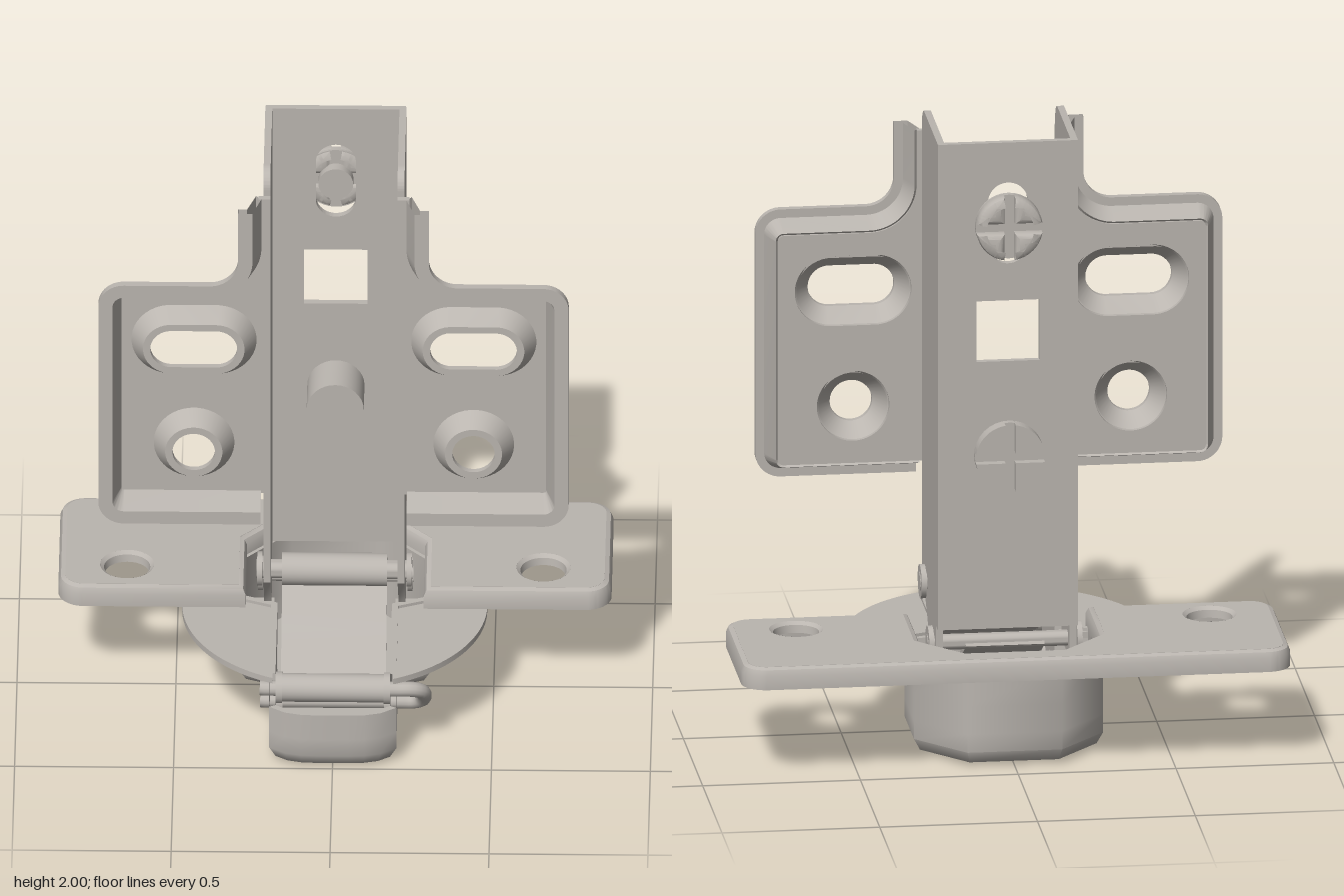
import * as THREE from 'three';
import { toCreasedNormals } from 'three/addons/utils/BufferGeometryUtils.js';

const V2 = (x, y) => new THREE.Vector2(x, y);
const steel = new THREE.MeshStandardMaterial({ name: 'nickel grey', color: 0xbab5af, side: THREE.DoubleSide });

function add(parent, name, geo, crease = 0.6) {
  const m = new THREE.Mesh(toCreasedNormals(geo, crease), steel);
  m.name = name;
  parent.add(m);
  return m;
}

// Moves a polyline sideways by d (positive = to the left of travel)
function offset(pts, d, closed) {
  const n = pts.length;
  const normal = (a, b) => { const e = b.clone().sub(a).normalize(); return V2(-e.y, e.x); };
  return pts.map((p, i) => {
    const prev = closed || i > 0 ? pts[(i + n - 1) % n] : null;
    const next = closed || i < n - 1 ? pts[(i + 1) % n] : null;
    const a = prev ? normal(prev, p) : normal(p, next);
    const b = next ? normal(p, next) : a;
    return p.clone().addScaledVector(a.clone().add(b), d / (1 + a.dot(b)));
  });
}

const clean = (pts, closed) => pts.filter((p, i) =>
  (i === 0 || p.distanceTo(pts[i - 1]) > 1e-4) && !(closed && i === pts.length - 1 && p.distanceTo(pts[0]) < 1e-4));

// Surface through a list of equal-length rings of Vector3
function skin(rings, closed, wrap, skip = () => false) {
  const n = rings[0].length, idx = [];
  for (let j = 0; j < rings.length - (wrap ? 0 : 1); j++) {
    const k = (j + 1) % rings.length;
    for (let i = 0; i < n - (closed ? 0 : 1); i++) {
      if (skip(j, i)) continue;
      const q = (i + 1) % n, a = j * n + i, b = j * n + q, c = k * n + q, d = k * n + i;
      idx.push(a, b, c, a, c, d);
    }
  }
  const g = new THREE.BufferGeometry().setFromPoints(rings.flat());
  g.setIndex(idx);
  return g;
}

// Bands following an outline: profile is a list of [inset, height]
const upright = (pts, profile, sign) => profile.map(([d, z]) =>
  offset(pts, d * sign, sign > 0).map(p => new THREE.Vector3(p.x, p.y, z)));
const lay = rings => rings.map(r => r.map(p => new THREE.Vector3(p.x, p.z, -p.y)));

const extrude = (shape, depth, opt = {}) =>
  new THREE.ExtrudeGeometry(shape, { depth, bevelEnabled: false, curveSegments: 16, ...opt });

function stadium(L, r, cx = 0, cy = 0, vertical = false) {
  const s = new THREE.Path(), q = vertical ? Math.PI / 2 : 0;
  const dx = vertical ? 0 : L, dy = vertical ? L : 0;
  s.absarc(cx + dx, cy + dy, r, q - Math.PI / 2, q + Math.PI / 2);
  s.absarc(cx - dx, cy - dy, r, q + Math.PI / 2, q + Math.PI * 1.5);
  s.closePath();
  return s;
}

// Cylinder lying along x
function pin(parent, name, r, x0, x1, y, z) {
  const g = new THREE.CylinderGeometry(r, r, x1 - x0, 24).rotateZ(Math.PI / 2);
  add(parent, name, g).position.set((x0 + x1) / 2, y, z);
}

// Bent sheet: [z, y] centre line, given width and thickness
function sheet(parent, name, line, width, t) {
  const pts = line.map(([z, y]) => V2(z, y));
  const s = new THREE.Shape([...offset(pts, t / 2, false), ...offset(pts, -t / 2, false).reverse()]);
  add(parent, name, extrude(s, width).rotateY(-Math.PI / 2).translate(width / 2, 0, 0));
}

function buildArm(root) {
  const arm = new THREE.Group();
  arm.name = 'arm';
  root.add(arm);
  // Back web with square window and adjusting slot
  const back = new THREE.Shape([V2(-0.22, 0.4), V2(0.22, 0.4), V2(0.22, 2), V2(-0.22, 2)]);
  back.holes.push(new THREE.Path([V2(-0.1, 1.28), V2(-0.1, 1.48), V2(0.1, 1.48), V2(0.1, 1.28)]));
  back.holes.push(stadium(0.07, 0.063, 0, 1.735, true));
  add(arm, 'armBack', extrude(back, 0.022).translate(0, 0, -0.235));
  // Side walls
  const s = new THREE.Shape();
  s.moveTo(-0.23, 0.4).lineTo(-0.19, 0.4).lineTo(-0.19, 0.28).lineTo(0, 0.28).lineTo(0.03, 0.35).lineTo(0.18, 0.49);
  s.lineTo(0.18, 1.94).absarc(0.12, 1.94, 0.06, 0, Math.PI / 2).lineTo(-0.23, 2);
  for (const side of [-1, 1]) {
    add(arm, 'armSide', extrude(s, 0.022).rotateY(-Math.PI / 2).translate(side * 0.211 + 0.011, 0, 0));
  }
}

function buildWing(root, side) {
  const wing = new THREE.Group();
  wing.name = side > 0 ? 'leftWing' : 'rightWing';
  wing.scale.x = side;
  root.add(wing);
  const path = new THREE.Path();
  path.moveTo(0.3, 1.92).lineTo(0.3, 1.74);
  path.absarc(0.39, 1.74, 0.09, Math.PI, Math.PI * 1.5);
  path.absarc(0.66, 1.57, 0.08, Math.PI / 2, 0, true);
  path.absarc(0.66, 0.85, 0.08, 0, -Math.PI / 2, true);
  path.lineTo(0.23, 0.77);
  const pts = clean(path.getPoints(8));
  // Raised rim
  const rim = [[0, 0.262], [0, 0.287], [0.045, 0.287], [0.072, 0.2], [0.055, 0.18], [0.028, 0.262]];
  add(wing, 'wingRim', skin(upright(pts, rim, -1), false, true));
  // Floor with pressed fixing holes
  const floor = new THREE.Shape([...offset(pts, -0.062, false), V2(0.2, 0.832), V2(0.2, 1.92)]);
  const holes = [[0.07, 1.4], [0, 1.02]];
  for (const [L, y] of holes) floor.holes.push(stadium(L, 0.115, 0.44, y));
  add(wing, 'wingFloor', extrude(floor, 0.02).translate(0, 0, 0.18));
  const boss = [[0.127, 0.2], [0.09, 0.26], [0.067, 0.26], [0.067, 0.24], [0.11, 0.18]];
  for (const [L, y] of holes) {
    const rings = boss.map(([r, z]) => {
      const ring = [];
      for (let i = 0; i < 40; i++) {
        const a = (i + 0.5) / 40 * Math.PI * 2, c = Math.cos(a);
        ring.push(new THREE.Vector3(0.44 + Math.sign(c) * L + r * c, y + r * Math.sin(a), z));
      }
      return ring;
    });
    add(wing, 'holeBoss', skin(rings, true, false));
  }
}

function buildScrew(root, y, shankR, shankLen, r, base, top, bevel) {
  const screw = new THREE.Group();
  screw.name = 'screw';
  screw.position.set(0, y, -0.23);
  screw.rotation.y = Math.PI;
  root.add(screw);
  const disc = (name, rad, z0, z1) => add(screw, name,
    new THREE.CylinderGeometry(rad, rad, z1 - z0, 32).rotateX(Math.PI / 2).translate(0, 0, (z0 + z1) / 2));
  disc('screwShank', shankR, -shankLen, base);
  disc('screwHead', r, base - 0.01, base + 0.012);
  // Four quadrants leave a cross slot between them
  const g = 0.016, a = Math.asin(g / r);
  const q = new THREE.Shape();
  q.moveTo(g, g).absarc(0, 0, r, a, Math.PI / 2 - a);
  q.lineTo(g, g);
  const opt = bevel ? { bevelEnabled: true, bevelSize: bevel, bevelOffset: -bevel, bevelThickness: 0.02, bevelSegments: 3 } : {};
  const depth = top - base - (bevel ? 0.02 : 0);
  for (let i = 0; i < 4; i++) {
    add(screw, 'screwQuadrant', extrude(q, depth, opt).translate(0, 0, base)).rotation.z = i * Math.PI / 2;
  }
}

function buildPlate(root) {
  const plate = new THREE.Group();
  plate.name = 'mountingPlate';
  root.add(plate);
  const P = Math.PI, path = new THREE.Path();
  path.absarc(-0.79, 0.04, 0.08, P, P * 1.5);
  for (const [x, v] of [[-0.28, -0.04], [-0.28, 0.26], [-0.15, 0.4], [0.15, 0.4], [0.28, 0.26], [0.28, -0.04]]) path.lineTo(x, v);
  path.absarc(0.79, 0.04, 0.08, -P / 2, 0);
  path.absarc(0.79, 0.43, 0.08, 0, P / 2);
  path.absarc(-0.79, 0.43, 0.08, P / 2, P);
  const pts = clean(path.getPoints(8), true);
  // Turned-down edge
  const edge = [[0, 0.31], [0, 0.355], [0.008, 0.373], [0.024, 0.38], [0.024, 0.36], [0.02, 0.31]];
  add(plate, 'plateEdge', skin(lay(upright(pts, edge, 1)), true, true));
  const top = new THREE.Shape(offset(pts, 0.022, true));
  for (const x of [-0.655, 0.655]) {
    top.holes.push(stadium(0, 0.085, x, 0.1));
    add(plate, 'plateHole', new THREE.LatheGeometry([V2(0.085, 0.38), V2(0.073, 0.37), V2(0.07, 0.345)], 32))
      .position.set(x, 0, -0.1);
  }
  add(plate, 'plateTop', extrude(top, 0.02).rotateX(-P / 2).translate(0, 0.36, 0));
}

function buildCup(root) {
  const cup = new THREE.Group();
  cup.name = 'cup';
  root.add(cup);
  const pts = [];
  for (let i = 0; i <= 8; i++) { const t = i / 4 - 1; pts.push(V2(0.2 * t, -0.455 - 0.05 * (1 - t ** 4))); }
  const half = [[0.2, -0.16], [0.2, -0.06], [0.2, -0.04], [0.3, 0], [0.3, 0.25], [0.15, 0.415]];
  half.forEach(([x, v]) => pts.push(V2(x, v)));
  half.slice().reverse().forEach(([x, v]) => pts.push(V2(-x, v)));
  const profile = [[0.06, 0], [0.02, 0.012], [0, 0.05], [0, 0.11], [0, 0.2], [0, 0.32],
    [0.02, 0.32], [0.02, 0.2], [0.02, 0.11], [0.02, 0.025]];
  const rings = lay(upright(pts, profile, 1));
  // Wall with low front and a square window in each side
  const open = (j, i) => (i < 8 && j >= 4 && j <= 6) || ((i === 9 || i === 19) && (j === 3 || j === 7));
  add(cup, 'cupWall', skin(rings, true, false, open), 0.85);
  add(cup, 'cupFrontLip', skin([rings[4].slice(0, 9), rings[7].slice(0, 9)], false, false));
  for (const [d, y] of [[0.06, 0], [0.02, 0.025]]) {
    add(cup, 'cupBottom', new THREE.ShapeGeometry(new THREE.Shape(offset(pts, d, true))).rotateX(y ? -Math.PI / 2 : Math.PI / 2)
      .scale(1, 1, y ? 1 : -1).translate(0, y, 0));
  }
  // Round flange either side of the opening
  const f = new THREE.Shape();
  f.moveTo(0.19, 0.02).lineTo(0.19, -0.46).absarc(0, -0.02, 0.48, -1.15, 0.08).lineTo(0.19, 0.02);
  for (const side of [-1, 1]) {
    add(cup, 'cupFlange', extrude(f, 0.02).rotateX(-Math.PI / 2).translate(0, 0.29, 0)).scale.x = side;
  }
}

function buildLinkage(root) {
  const link = new THREE.Group();
  link.name = 'linkage';
  root.add(link);
  // Upper axle, rear pin and front barrel
  pin(link, 'upperBarrel', 0.052, -0.165, 0.165, 0.47, 0.065);
  pin(link, 'frontBarrel', 0.045, -0.165, 0.165, 0.235, 0.395);
  for (const [y, z, r] of [[0.47, 0.065, 0.03], [0.33, -0.135, 0.025]]) {
    pin(link, 'axle', r, -0.245, 0.245, y, z);
    for (const x of [-0.235, 0.235]) pin(link, 'axleHead', 0.054, x - 0.008, x + 0.008, y, z);
  }
  sheet(link, 'outerLink', [[0.04, 0.43], [0.17, 0.305], [0.38, 0.21]], 0.33, 0.025);
  sheet(link, 'innerLink', [[-0.16, 0.33], [0, 0.24], [0.15, 0.12], [0.3, 0.13]], 0.25, 0.02);
  for (const x of [-0.17, 0.17]) {
    pin(link, 'linkEye', 0.05, x - 0.01, x + 0.01, 0.235, 0.395);
    pin(link, 'linkEye', 0.05, x - 0.01, x + 0.01, 0.14, 0.31);
  }
  // Bent wire whose legs carry both links
  const bend = [[-0.23, 0.235, 0.4], [0.2, 0.235, 0.4], [0.25, 0.235, 0.4], [0.28, 0.215, 0.38],
    [0.28, 0.15, 0.32], [0.25, 0.13, 0.3], [0.2, 0.13, 0.3], [-0.23, 0.13, 0.3]];
  const curve = new THREE.CurvePath();
  const v = bend.map(p => new THREE.Vector3(...p));
  curve.add(new THREE.LineCurve3(v[0], v[1]));
  curve.add(new THREE.CatmullRomCurve3(v.slice(1, 7)));
  curve.add(new THREE.LineCurve3(v[6], v[7]));
  add(link, 'wirePin', new THREE.TubeGeometry(curve, 80, 0.024, 12), 0.8);
}

export function createModel() {
  const root = new THREE.Group();
  root.name = 'cabinetHinge';
  buildArm(root);
  for (const side of [-1, 1]) buildWing(root, side);
  buildScrew(root, 1.73, 0.055, 0.03, 0.105, 0.015, 0.07, 0.03);
  buildScrew(root, 0.98, 0.09, 0.165, 0.11, 0.035, 0.075, 0);
  buildPlate(root);
  buildCup(root);
  buildLinkage(root);
  return root;
}
